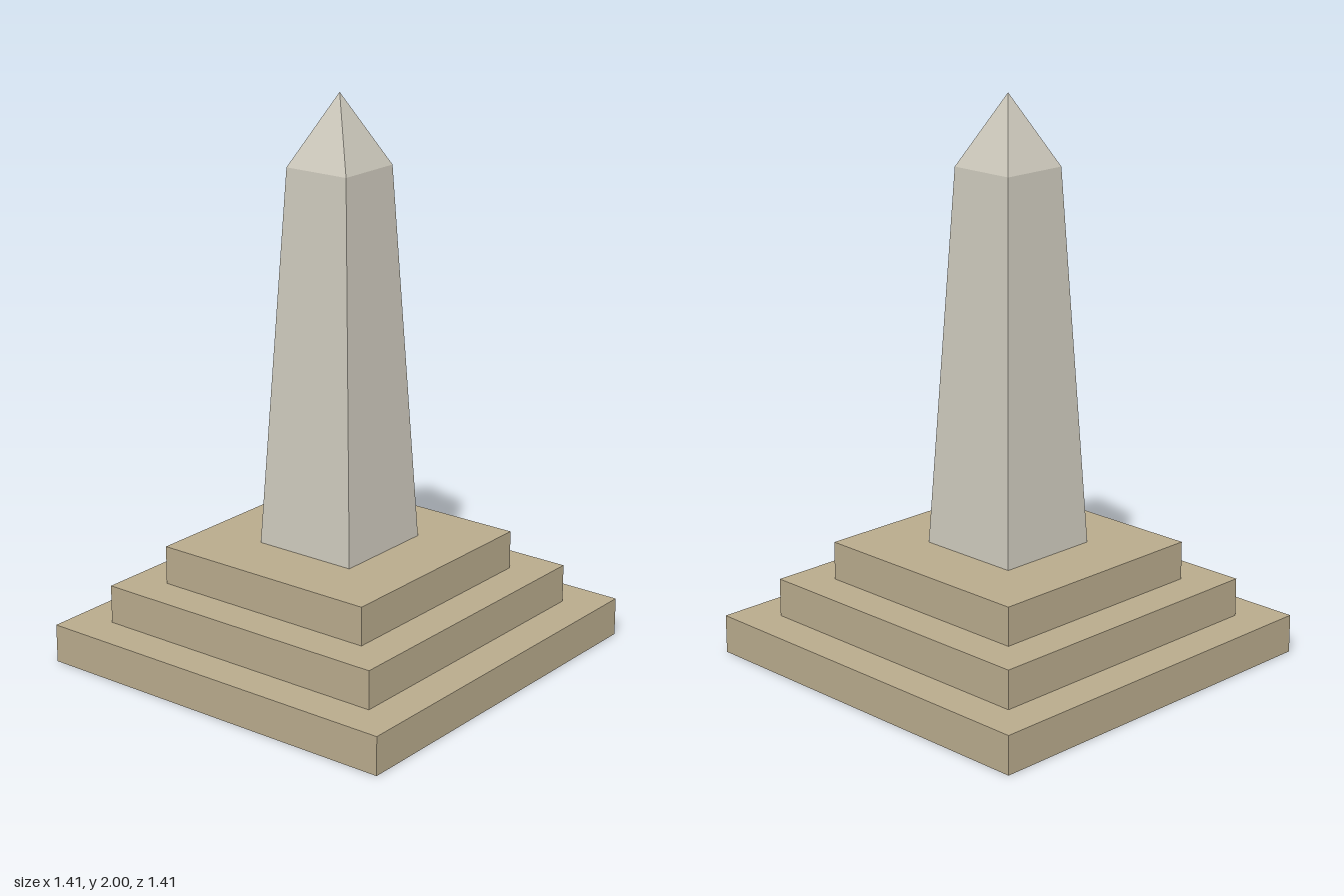
import * as THREE from 'three';

export function createModel() {
  const model = new THREE.Group();
  model.name = 'obelisk';

  const sandstone = new THREE.MeshStandardMaterial({ color: 0xb8aa8c });
  sandstone.name = 'sandstone';
  const paleStone = new THREE.MeshStandardMaterial({ color: 0xccc8bb });
  paleStone.name = 'pale stone';
  paleStone.flatShading = true;

  const add = (name, geometry, material, y) => {
    const mesh = new THREE.Mesh(geometry, material);
    mesh.name = name;
    mesh.position.y = y;
    model.add(mesh);
  };

  // Square frustum standing on y = 0, sized by its half widths
  const frustum = (top, bottom, height) =>
    new THREE.CylinderGeometry(top * Math.SQRT2, bottom * Math.SQRT2, height, 4)
      .rotateY(Math.PI / 4)
      .translate(0, height / 2, 0);

  // Three stacked plinth steps
  const stepHeight = 0.138;
  ['lowerStep', 'middleStep', 'upperStep'].forEach((name, i) => {
    const width = 1.41 - i * 0.275;
    add(name, new THREE.BoxGeometry(width, stepHeight, width), sandstone, (i + 0.5) * stepHeight);
  });

  // Tapered shaft and pointed cap
  const shaftBase = 3 * stepHeight, capBase = 1.75;
  add('shaft', frustum(0.126, 0.196, capBase - shaftBase), paleStone, shaftBase);
  add('pyramidCap', frustum(0, 0.126, 2 - capBase), paleStone, capBase);

  return model;
}
